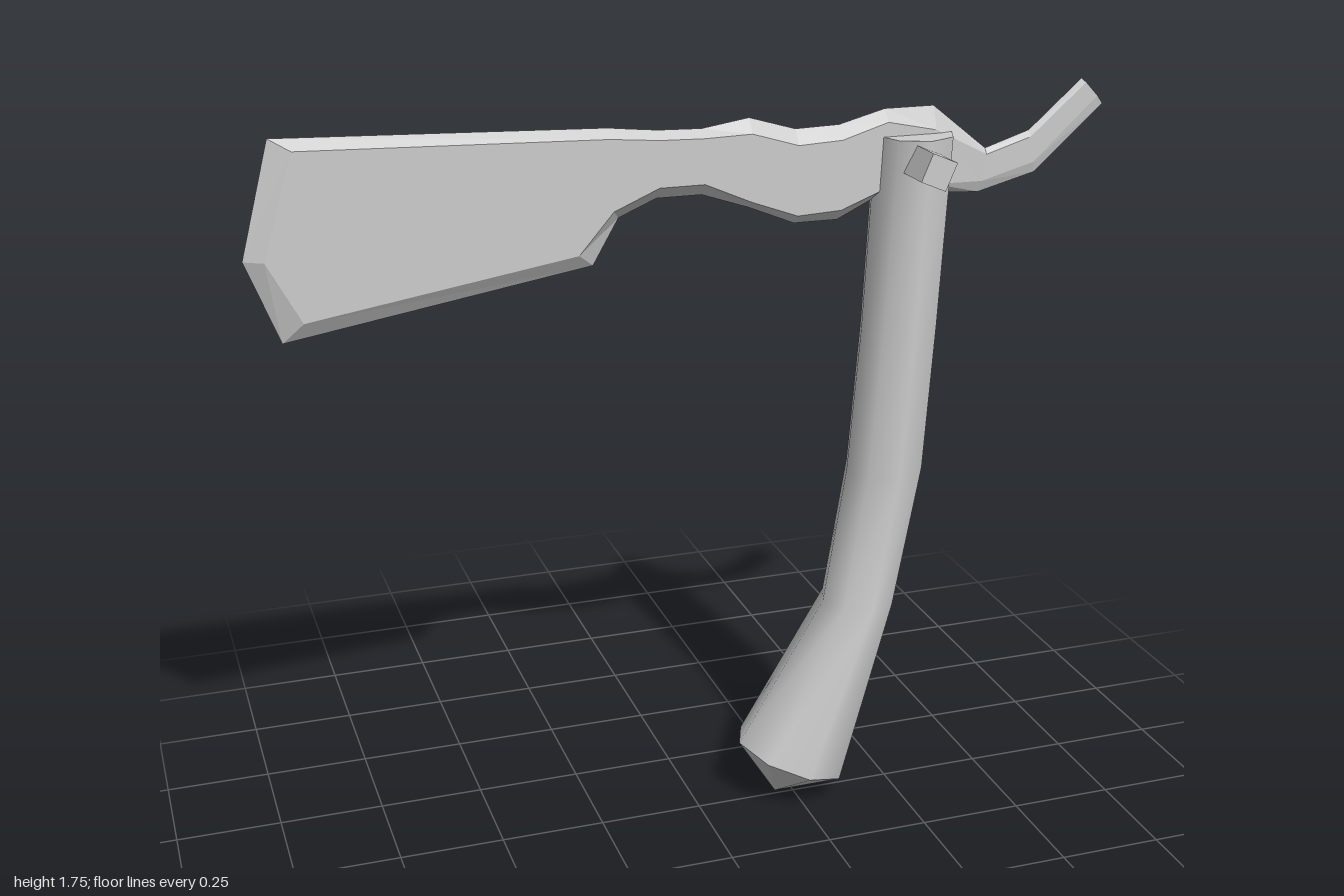
import * as THREE from 'three';

const MID = -0.013; // z of the plane the blade and handle share
const material = new THREE.MeshStandardMaterial({ color: 0xcccccc });

// Skin closed rings (right-handed about the direction of travel)
function loft(rings, flat) {
  const n = rings[0].length, index = [];
  for (let i = 0; i < rings.length - 1; i++) {
    for (let j = 0; j < n; j++) {
      const a = i * n + j, b = i * n + (j + 1) % n;
      index.push(a, b, b + n, a, b + n, a + n);
    }
  }
  let geometry = new THREE.BufferGeometry();
  geometry.setAttribute('position', new THREE.Float32BufferAttribute(rings.flat(2), 3));
  geometry.setIndex(index);
  if (flat) geometry = geometry.toNonIndexed();
  geometry.computeVertexNormals();
  return geometry;
}

function addMesh(parent, name, geometry) {
  const mesh = new THREE.Mesh(geometry, material);
  mesh.name = name;
  parent.add(mesh);
  return mesh;
}

// Octagonal ring between a left and a right outline point
function handleRing([lx, ly, rx, ry, rz]) {
  return Array.from({ length: 8 }, (_, k) => {
    const c = Math.cos(k * Math.PI / 4), s = Math.sin(k * Math.PI / 4);
    return [(lx + rx) / 2 + c * (rx - lx) / 2, (ly + ry) / 2 + c * (ry - ly) / 2, MID + s * rz];
  });
}

function makeHandle() {
  const handle = new THREE.Group();
  handle.name = 'handle';
  const rings = [
    [0.425, 1.657, 0.612, 1.657, 0.1],
    [0.404, 1.2, 0.591, 1.22, 0.098],
    [0.377, 0.85, 0.57, 0.866, 0.098],
    [0.324, 0.513, 0.505, 0.513, 0.098],
    [0.11, 0.155, 0.377, 0.053, 0.145],
  ].map(handleRing);
  const point = (x, y) => Array(8).fill([x, y, MID]);
  addMesh(handle, 'handleShaft', loft(rings, false));
  addMesh(handle, 'handleTop', loft([point(0.518, 1.657), rings[0]], true));
  addMesh(handle, 'handlePommel', loft([rings[4], point(0.206, 0.003)], true));
  return handle;
}

// Bevelled blade: sharp outline on the mid plane, raised flat faces inside it
function makeBlade() {
  // outer top, inner top, inner bottom, outer bottom (x, y each), half thickness
  const stations = [
    [-1, 1.485, -0.957, 1.485, -0.957, 1.485, -1, 1.485, 0.025],
    [-0.93, 1.74, -0.885, 1.715, -0.885, 1.347, -0.93, 1.3, 0.025],
    [-0.205, 1.715, -0.205, 1.695, -0.28, 1.443, -0.243, 1.412, 0.025],
    [-0.15, 1.709, -0.15, 1.69, -0.2, 1.535, -0.183, 1.515, 0.025],
    [-0.09, 1.703, -0.09, 1.685, -0.095, 1.58, -0.095, 1.552, 0.025],
    [0.01, 1.7, 0.01, 1.682, 0.01, 1.58, 0.01, 1.552, 0.024],
    [0.12, 1.717, 0.12, 1.685, 0.12, 1.532, 0.12, 1.515, 0.025],
    [0.23, 1.685, 0.23, 1.652, 0.23, 1.492, 0.23, 1.47, 0.025],
    [0.335, 1.688, 0.335, 1.657, 0.335, 1.497, 0.335, 1.47, 0.025],
    [0.445, 1.717, 0.445, 1.69, 0.44, 1.537, 0.44, 1.52, 0.024],
    [0.565, 1.717, 0.565, 1.665, 0.565, 1.54, 0.565, 1.515, 0.023],
    [0.7, 1.61, 0.7, 1.597, 0.69, 1.535, 0.687, 1.508, 0.01],
    [0.81, 1.645, 0.812, 1.63, 0.822, 1.57, 0.83, 1.545, 0.008],
    [0.938, 1.757, 0.948, 1.748, 0.98, 1.715, 0.997, 1.695, 0.006],
  ];
  const rings = stations.map(([ax, ay, bx, by, cx, cy, dx, dy, t]) => [
    [ax, ay, MID], [bx, by, MID + t], [cx, cy, MID + t],
    [dx, dy, MID], [cx, cy, MID - t], [bx, by, MID - t],
  ]);
  rings.push(Array(6).fill([0.968, 1.726, MID])); // closes the tail
  return loft(rings, true);
}

export function createModel() {
  const model = new THREE.Group();
  model.name = 'hatchet';
  model.add(makeHandle());
  addMesh(model, 'blade', makeBlade());

  // Square pin through the top of the handle
  const pin = addMesh(model, 'crossPin', new THREE.BoxGeometry(0.065, 0.068, 0.32));
  pin.position.set(0.506, 1.603, 0);
  pin.rotation.z = -0.4;
  return model;
}
